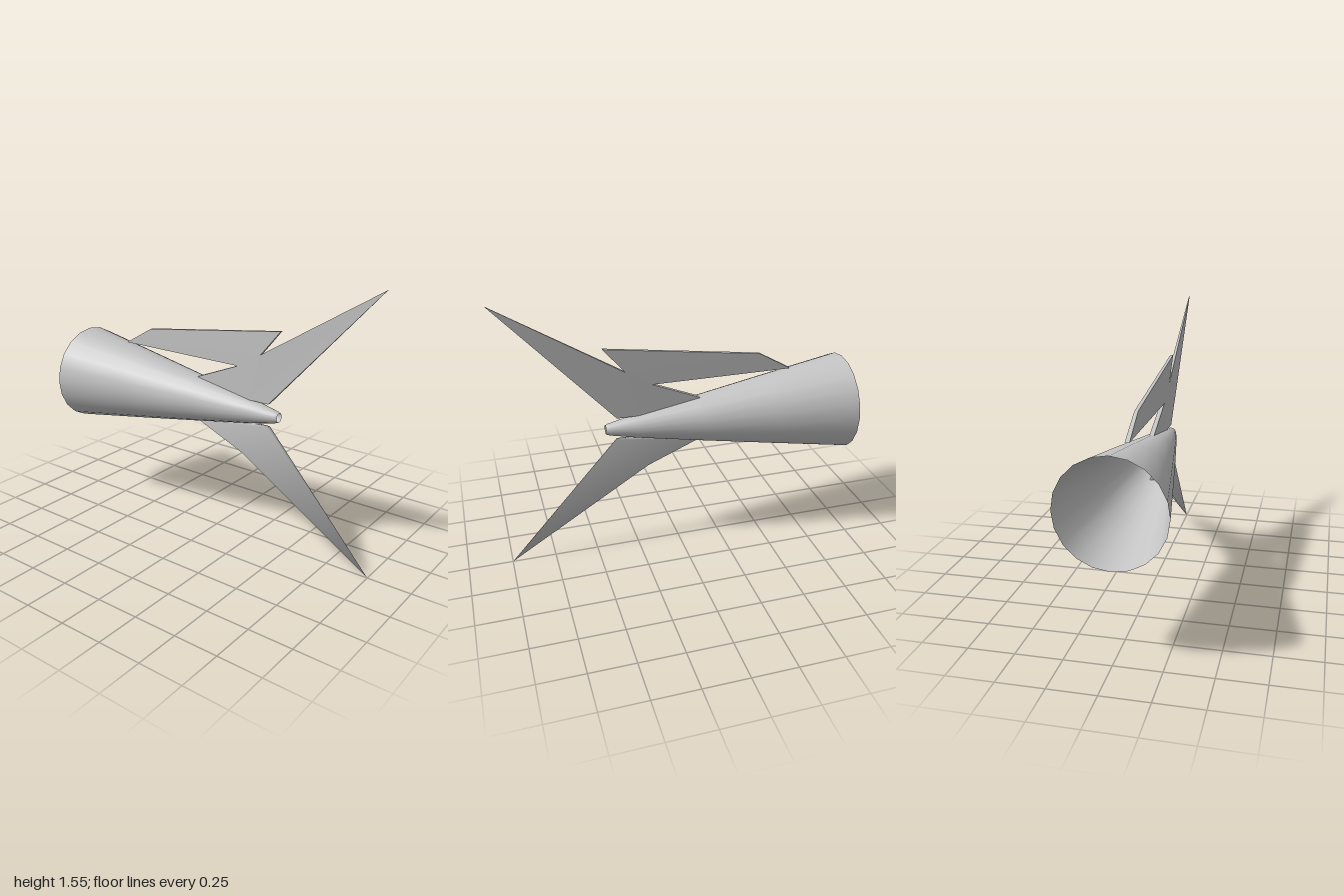
import * as THREE from 'three';

// Upright plate from an outline of [z, y, halfThickness]; zero thickness pinches to a point.
function makePlate(outline) {
  const contour = outline.map(([z, y]) => new THREE.Vector2(z, y));
  const flip = THREE.ShapeUtils.isClockWise(contour);
  if (flip) { contour.reverse(); outline = [...outline].reverse(); }
  const positions = [], left = [], right = [], index = [];
  for (const [z, y, t] of outline) {
    left.push(positions.length / 3);
    positions.push(t, y, z);
    if (t > 0) positions.push(-t, y, z);
    right.push(positions.length / 3 - 1);
  }
  // Side faces
  for (const [a, b, c] of THREE.ShapeUtils.triangulateShape(contour, [])) {
    index.push(left[a], left[c], left[b], right[a], right[b], right[c]);
  }
  // Rim
  for (let i = 0; i < outline.length; i++) {
    const j = (i + 1) % outline.length;
    if (left[i] !== right[i]) index.push(left[i], right[j], right[i]);
    if (left[j] !== right[j]) index.push(left[i], left[j], right[j]);
  }
  const geometry = new THREE.BufferGeometry();
  geometry.setAttribute('position', new THREE.Float32BufferAttribute(positions, 3));
  geometry.setIndex(index);
  geometry.computeVertexNormals();
  return geometry;
}

function flat(geometry) {
  const g = geometry.toNonIndexed();
  g.computeVertexNormals();
  return g;
}

export function createModel() {
  const group = new THREE.Group();
  const grey = new THREE.MeshStandardMaterial({ color: 0xc4c4c4, side: THREE.DoubleSide });
  grey.name = 'light grey';

  const add = (name, geometry) => {
    const mesh = new THREE.Mesh(geometry, grey);
    mesh.name = name;
    group.add(mesh);
    return mesh;
  };

  // Tapered body, open at both ends
  const profile = [[0.282, -1], [0.206, -0.55], [0.132, -0.12], [0.066, 0.25], [0.034, 0.4], [0.026, 0.42]];
  const body = add('body', new THREE.LatheGeometry(profile.map(([r, z]) => new THREE.Vector2(r, z)), 20)
    .rotateX(Math.PI / 2));
  body.position.y = 0.778;

  // Swept upper fin
  add('upperFin', flat(makePlate([
    [1, 1.55, 0.002], [0.3, 1.115, 0.011], [0.15, 1.025, 0.012],
    [-0.13, 0.91, 0.013], [0.22, 0.845, 0.013], [0.355, 0.845, 0.012],
  ])));

  // Long blade branching back from the upper fin
  add('upperBlade', flat(makePlate([
    [0.3, 1.115, 0.011], [0.42, 1.26, 0.008], [-0.48, 1.135, 0.01],
    [-0.67, 1.025, 0.012], [0.15, 1.025, 0.012],
  ])));

  // Swept lower fin, smoothly pinched at its tip
  add('lowerFin', makePlate([
    [1, 0, 0], [0.18, 0.52, 0.011], [-0.125, 0.65, 0.013],
    [0.22, 0.711, 0.013], [0.355, 0.711, 0.012],
  ]));

  return group;
}
